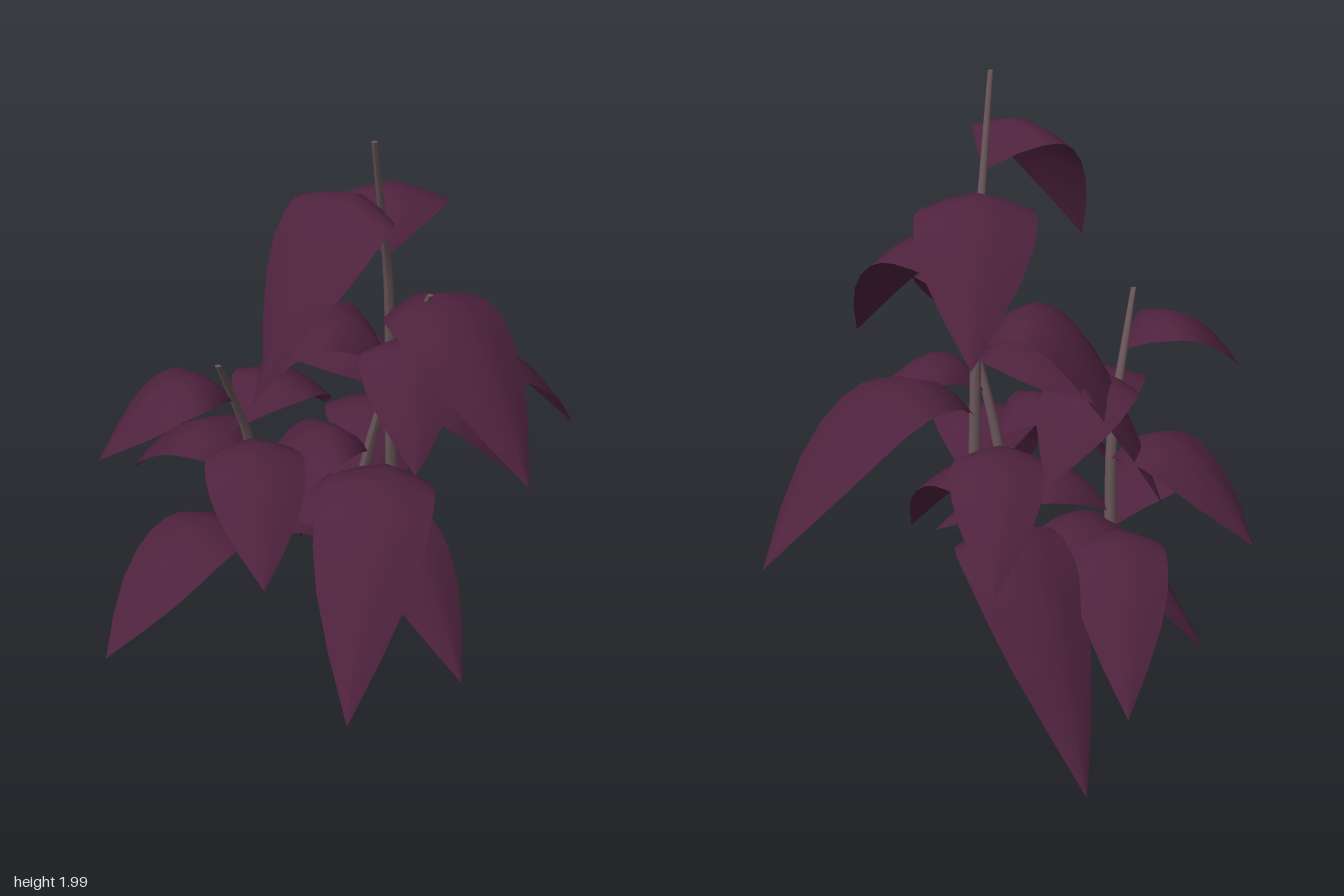
import * as THREE from 'three';

const leafMat = new THREE.MeshStandardMaterial({ color: 0x4e223e, side: THREE.DoubleSide });
leafMat.name = 'dark purple leaf';
const stemMat = new THREE.MeshStandardMaterial({ color: 0x685459 });
stemMat.name = 'brown stem';

const V = (x, y, z) => new THREE.Vector3(x, y, z);

// Half-width of a leaf along its length, as a fraction of the widest point
const PROFILE = [0.03, 0.48, 0.79, 0.94, 1, 1, 0.94, 0.77, 0.45, 0];
const ACROSS = [-1, -0.5, 0, 0.5, 1];

// Three stems: path points, leaf half-width, then leaves from top to bottom as [height on stem, tip]
const STEMS = [
  {
    name: 'tallStem',
    halfWidth: 0.18,
    path: [V(0.185, 0.43, -0.11), V(0.185, 0.95, -0.06), V(0.185, 1.47, 0), V(0.188, 1.72, 0.095), V(0.19, 2, 0.2)],
    leaves: [
      [1.72, V(-0.03, 1.385, 0.535)], [1.575, V(0.06, 1.325, -0.54)], [1.34, V(0.705, 1.05, 0.34)],
      [1.17, V(-0.41, 0.69, 0)], [0.96, V(0.675, 0.68, -0.67)], [0.71, V(0.26, 0.32, 0.67)],
      [0.5, V(-0.31, 0.01, -0.65)],
    ],
  },
  {
    name: 'leaningStem',
    halfWidth: 0.145,
    path: [V(0.055, 0.43, -0.03), V(0.14, 0.92, 0), V(0.25, 1.29, 0.05), V(0.34, 1.51, 0.115)],
    leaves: [
      [1.28, V(0.39, 1.09, 0.43)], [1.12, V(-0.22, 1.1, -0.18)], [1.02, V(0.63, 0.8, -0.07)],
      [0.87, V(-0.22, 0.62, 0.3)], [0.78, V(-0.01, 0.62, -0.59)], [0.56, V(0.54, 0.31, 0.36)],
      [0.47, V(-0.56, 0.2, -0.03)],
    ],
  },
  {
    name: 'shortStem',
    halfWidth: 0.152,
    path: [V(-0.23, 0.43, 0.08), V(-0.222, 0.9, 0.125), V(-0.235, 1.1, 0.21), V(-0.245, 1.29, 0.32)],
    leaves: [
      [1.12, V(-0.58, 0.99, 0.47)], [1.0, V(-0.1, 0.85, -0.28)], [0.88, V(-0.01, 0.73, 0.62)],
      [0.78, V(-0.71, 0.61, -0.06)], [0.6, V(0.34, 0.51, -0.01)], [0.54, V(-0.52, 0.39, 0.66)],
      [0.47, V(-0.41, 0.23, -0.535)],
    ],
  },
];

// Tapered cylinder bent along a curve
function stemGeometry(curve) {
  const geo = new THREE.CylinderGeometry(0.009, 0.022, 1, 8, 12);
  const pos = geo.attributes.position;
  for (let i = 0; i < pos.count; i++) {
    const c = curve.getPoint(THREE.MathUtils.clamp(pos.getY(i) + 0.5, 0, 1));
    pos.setXYZ(i, c.x + pos.getX(i), c.y, c.z + pos.getZ(i));
  }
  geo.computeVertexNormals();
  return geo;
}

// Arching blade: rises from the stem, then droops to its tip, with lowered sides
function leafGeometry(base, tip, halfWidth) {
  const flat = V(tip.x - base.x, 0, tip.z - base.z);
  const chord = base.distanceTo(tip);
  const rib = new THREE.CubicBezierCurve3(
    base,
    base.clone().addScaledVector(flat, 0.25).add(V(0, 0.4 * chord, 0)),
    base.clone().addScaledVector(flat, 0.62).add(V(0, 0.27 * chord, 0)),
    tip
  );
  const side = flat.clone().normalize().cross(V(0, 1, 0));
  const points = [], index = [];
  const rows = PROFILE.length, cols = ACROSS.length;
  PROFILE.forEach((w, i) => {
    const t = i / (rows - 1);
    const centre = rib.getPoint(t);
    const up = side.clone().cross(rib.getTangent(t));
    for (const s of ACROSS) {
      const p = centre.clone()
        .addScaledVector(side, s * w * halfWidth)
        .addScaledVector(up, -0.3 * w * halfWidth * Math.abs(s) ** 1.4);
      points.push(p.x, p.y, p.z);
    }
  });
  for (let i = 0; i < rows - 1; i++) {
    for (let j = 0; j < cols - 1; j++) {
      const a = i * cols + j, b = a + cols;
      index.push(a, a + 1, b, a + 1, b + 1, b);
    }
  }
  const geo = new THREE.BufferGeometry();
  geo.setAttribute('position', new THREE.Float32BufferAttribute(points, 3));
  geo.setIndex(index);
  geo.computeVertexNormals();
  return geo;
}

// Point on a rising curve at a given height
function pointAtHeight(curve, y) {
  let lo = 0, hi = 1;
  for (let i = 0; i < 20; i++) {
    const mid = (lo + hi) / 2;
    if (curve.getPoint(mid).y < y) lo = mid; else hi = mid;
  }
  return curve.getPoint(lo);
}

export function createModel() {
  const plant = new THREE.Group();
  plant.name = 'plant';
  for (const { name, halfWidth, path, leaves } of STEMS) {
    const branch = new THREE.Group();
    branch.name = name + 'Branch';
    const curve = new THREE.CatmullRomCurve3(path);
    const stem = new THREE.Mesh(stemGeometry(curve), stemMat);
    stem.name = name;
    branch.add(stem);
    leaves.forEach(([height, tip], i) => {
      const leaf = new THREE.Mesh(leafGeometry(pointAtHeight(curve, height), tip, halfWidth), leafMat);
      leaf.name = `leaf${i + 1}`;
      branch.add(leaf);
    });
    plant.add(branch);
  }
  return plant;
}
